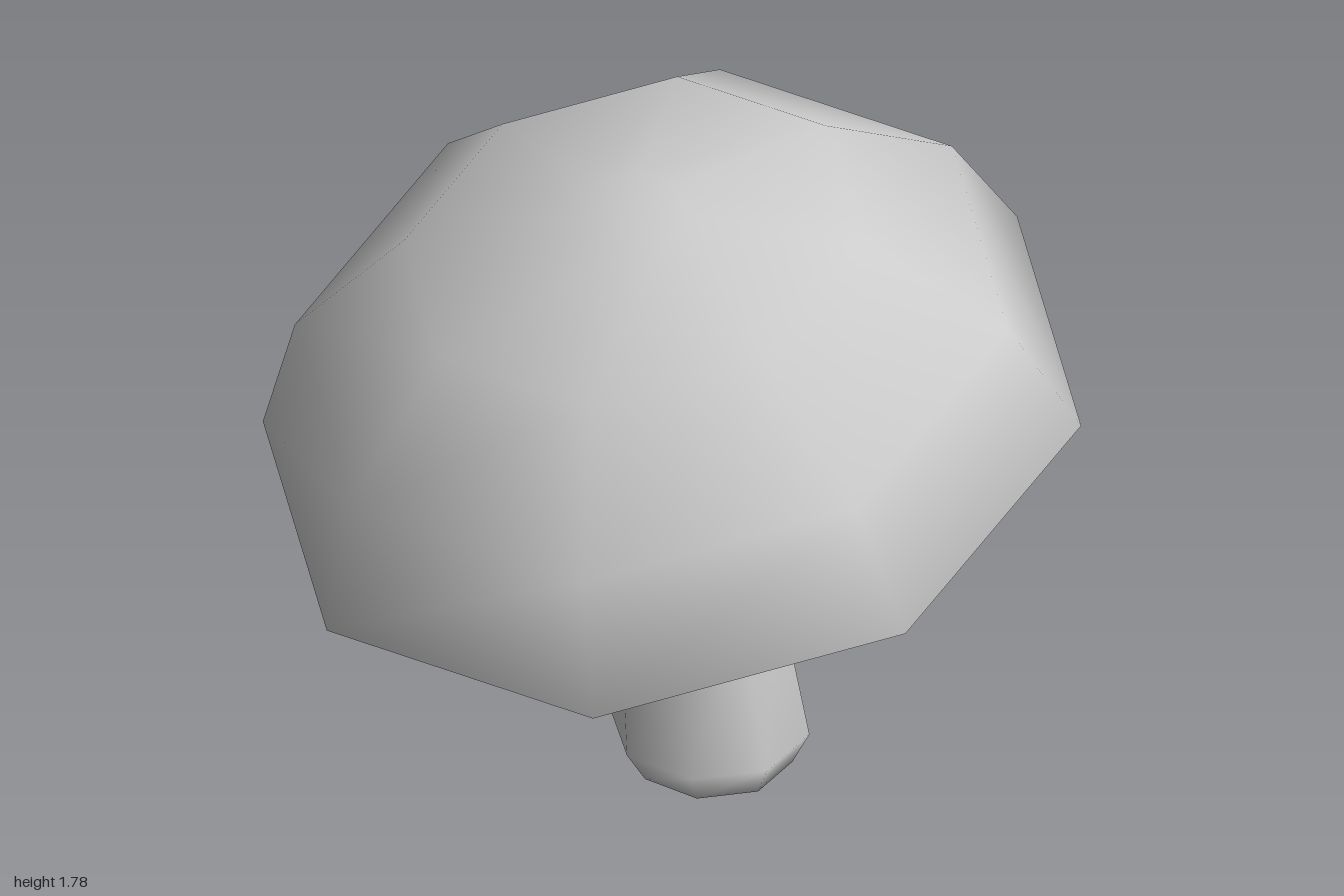
import * as THREE from 'three';

const SIDES = 8;
const PHASE = -0.268; // turn of the octagon about y
const TILT_X = 0.198, TILT_Z = -0.095; // slope of the cap plane

// Ring of points around (x, y, z); tilt 0 is level, 1 follows the cap's slope
function ring(x, y, z, r, tilt = 0) {
  return Array.from({ length: SIDES }, (_, i) => {
    const a = PHASE + (i / SIDES) * Math.PI * 2;
    const dx = r * Math.cos(a), dz = r * Math.sin(a);
    return [x + dx, y + tilt * (dx * TILT_X + dz * TILT_Z), z + dz];
  });
}

// Ring at a height along the cap's leaning axis
function capRing(r, h) {
  return ring(-TILT_X * h, 1.05 + h, -TILT_Z * h, r, 1);
}

// Smooth skin through rings, optionally closed at either end
function loft(name, rings, closeStart, closeEnd) {
  const pts = rings.flat();
  const index = [];
  for (let j = 0; j < rings.length - 1; j++) {
    for (let i = 0; i < SIDES; i++) {
      const a = j * SIDES + i, b = j * SIDES + ((i + 1) % SIDES);
      index.push(a, a + SIDES, b, b, a + SIDES, b + SIDES);
    }
  }
  const close = (j, flip) => {
    const c = pts.length;
    pts.push([0, 1, 2].map(k => rings[j].reduce((s, p) => s + p[k], 0) / SIDES));
    for (let i = 0; i < SIDES; i++) {
      const a = j * SIDES + i, b = j * SIDES + ((i + 1) % SIDES);
      if (flip) index.push(c, b, a);
      else index.push(c, a, b);
    }
  };
  if (closeStart) close(0, false);
  if (closeEnd) close(rings.length - 1, true);

  const geo = new THREE.BufferGeometry();
  geo.setAttribute('position', new THREE.Float32BufferAttribute(pts.flat(), 3));
  geo.setIndex(index);
  geo.computeVertexNormals();
  const mesh = new THREE.Mesh(geo, new THREE.MeshStandardMaterial({ color: 0xcccccc }));
  mesh.name = name;
  return mesh;
}

export function createModel() {
  const group = new THREE.Group();
  group.name = 'mushroom';

  // Stem: rounded foot, leaning shaft, flare under the cap
  group.add(loft('stem', [
    ring(0.11, 0, 0, 0.085),
    ring(0.105, 0.04, 0, 0.2),
    ring(0.1, 0.13, 0, 0.248),
    ring(0.062, 0.55, -0.025, 0.215),
    ring(0.025, 0.9, -0.015, 0.168, 0.5),
    capRing(0.23, -0.055),
    capRing(0.53, -0.005),
  ], true, false));

  // Cap: hollow underside, rolled lip, rim and dome
  group.add(loft('cap', [
    capRing(0.53, -0.005),
    capRing(0.75, 0.0),
    capRing(0.88, -0.075),
    capRing(1.025, 0),
    capRing(0.893, 0.325),
    capRing(0.573, 0.61),
    capRing(0.147, 0.7),
  ], false, true));

  return group;
}
